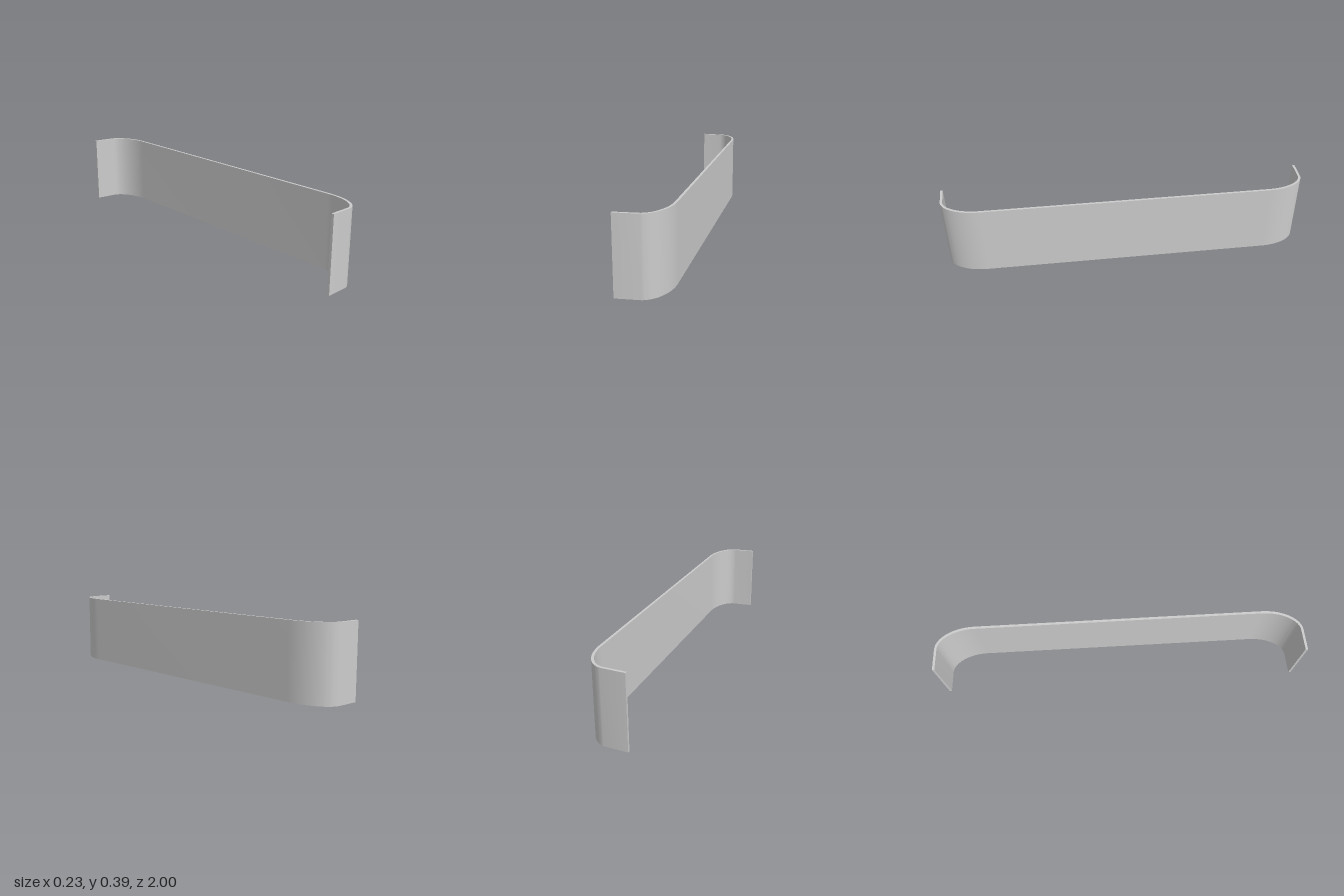
import * as THREE from 'three';
import { toCreasedNormals } from 'three/addons/utils/BufferGeometryUtils.js';

const HEIGHT = 0.388;
const THICKNESS = 0.013;

export function createModel() {
  const group = new THREE.Group();
  group.name = 'bracket';

  // Half of the outer outline in plan: short flange, then a soft bend into the long wall
  const bend = new THREE.CubicBezierCurve(
    new THREE.Vector2(0, 0.993), new THREE.Vector2(0.06, 0.988),
    new THREE.Vector2(0.117, 0.9), new THREE.Vector2(0.117, 0.78));
  const half = [new THREE.Vector2(-0.117, 1), ...bend.getPoints(24)];
  const mirrored = half.map((p) => new THREE.Vector2(p.x, -p.y)).reverse();
  const outer = [...half, ...mirrored];

  // Inner outline: the outer one moved inwards along its normals
  const inner = outer.map((p, i) => {
    const a = outer[Math.max(i - 1, 0)];
    const b = outer[Math.min(i + 1, outer.length - 1)];
    const t = b.clone().sub(a).normalize();
    return new THREE.Vector2(p.x + t.y * THICKNESS, p.y - t.x * THICKNESS);
  });
  // Square off the two free ends
  inner[0].x = inner[inner.length - 1].x = -0.117;

  // Bent strip, extruded upwards
  const shape = new THREE.Shape([...outer, ...inner.reverse()]);
  const extruded = new THREE.ExtrudeGeometry(shape, { depth: HEIGHT, bevelEnabled: false });
  extruded.rotateX(-Math.PI / 2);
  const strip = new THREE.Mesh(
    toCreasedNormals(extruded, 0.5),
    new THREE.MeshStandardMaterial({ color: 0xcccccc }));
  strip.name = 'bentStrip';
  group.add(strip);
  return group;
}
